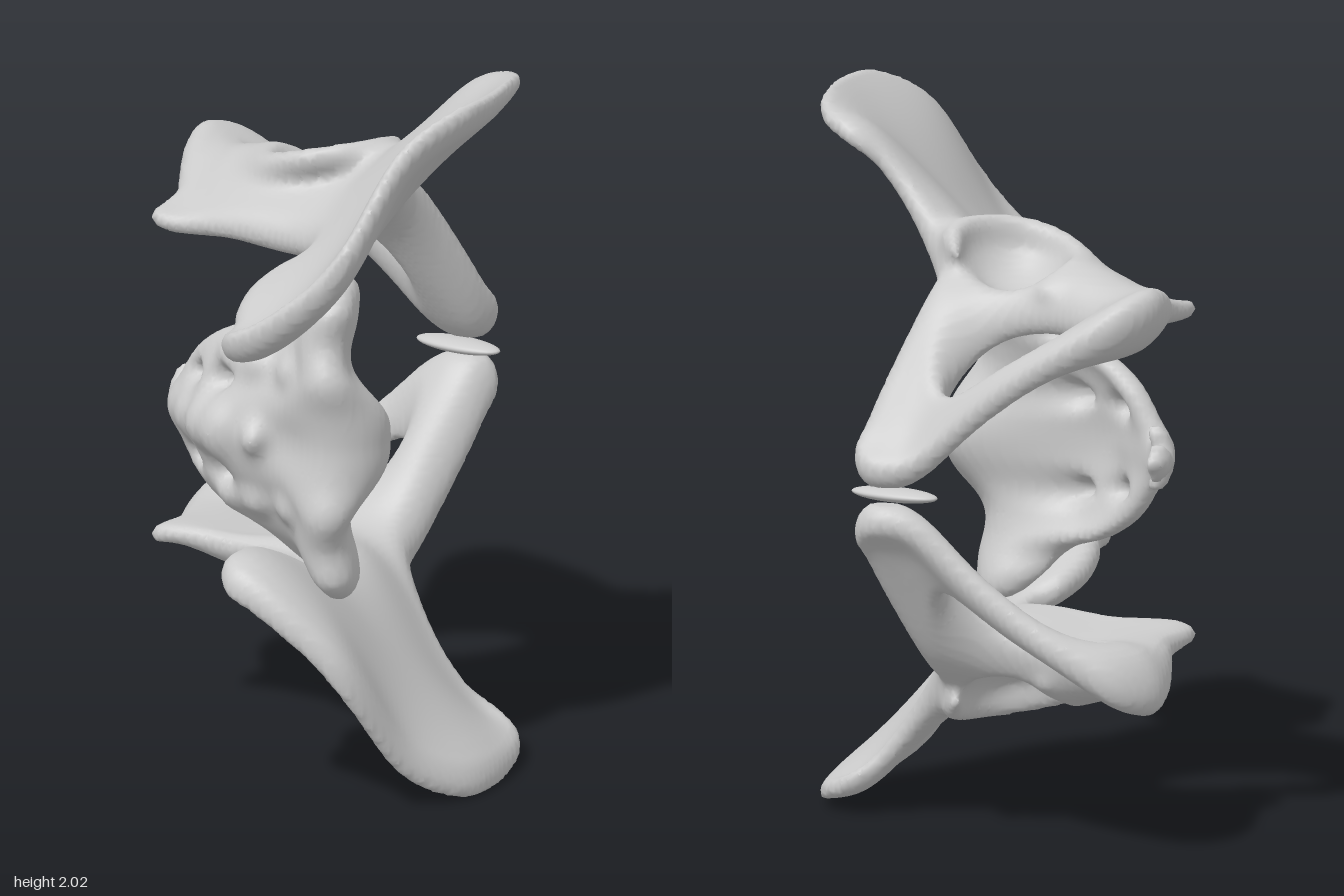
import * as THREE from 'three';

const STEP = 0.0155;
const smin = (a, b, k) => {
  const h = Math.max(k - Math.abs(a - b), 0) / k;
  return Math.min(a, b) - h * h * k / 4;
};

// Smooth closed outline through a few points
const outline = (pts, n) => new THREE.CatmullRomCurve3(
  pts.map(([a, b]) => new THREE.Vector3(a, b, 0)), true).getPoints(n);
const oval = (a, b, r, s) => outline([[a + r, b], [a, b + s], [a - r, b], [a, b - s]], 16);

// Signed distance to a polygon, negative inside
function polygonDistance(poly, u, v) {
  let best = Infinity, inside = false;
  for (let i = 0, j = poly.length - 1; i < poly.length; j = i++) {
    const a = poly[i], b = poly[j], ex = b.x - a.x, ey = b.y - a.y, px = u - a.x, py = v - a.y;
    const s = THREE.MathUtils.clamp((px * ex + py * ey) / (ex * ex + ey * ey || 1), 0, 1);
    best = Math.min(best, Math.hypot(px - ex * s, py - ey * s));
    if ((a.y > v) !== (b.y > v) && u < ex * (v - a.y) / (ey || 1e-9) + a.x) inside = !inside;
  }
  return inside ? -best : best;
}

// Smooth function through scattered values: rows are [u, v, ...values]
function scatter(rows, column) {
  const n = rows.length, phi = (a, b) => Math.sqrt(a * a + b * b + 0.01);
  const m = rows.map(p => [...rows.map(q => phi(p[0] - q[0], p[1] - q[1])), p[column]]);
  for (let c = 0; c < n; c++) {
    let p = c;
    for (let r = c; r < n; r++) if (Math.abs(m[r][c]) > Math.abs(m[p][c])) p = r;
    [m[c], m[p]] = [m[p], m[c]];
    for (let r = 0; r < n; r++) {
      if (r === c) continue;
      const k = m[r][c] / m[c][c];
      for (let j = c; j <= n; j++) m[r][j] -= k * m[c][j];
    }
  }
  const w = m.map((row, i) => row[n] / row[i]);
  return (u, v) => rows.reduce((s, p, i) => s + w[i] * phi(u - p[0], v - p[1]), 0);
}

// Curved plate with rounded edges: rows are [u, v, mid height, half thickness]
function plate(edge, holes, rows) {
  const mid = scatter(rows, 2), thick = scatter(rows, 3);
  return (u, v) => {
    let a = polygonDistance(edge, u, v);
    for (const h of holes) a = Math.max(a, -polygonDistance(h, u, v));
    const f = mid(u, v), t = Math.max(0.022, thick(u, v));
    const slope = Math.hypot(1, (mid(u + 0.01, v) - f) / 0.01, (mid(u, v + 0.01) - f) / 0.01);
    return w => {
      const p = a + t, q = Math.abs(w - f) / slope;
      return Math.hypot(Math.max(p, 0), q) - t + Math.min(Math.max(p, -t), 0) * 0.05;
    };
  };
}

// Skin a distance field given as column(u, v) => (w => distance)
function skin(column, lo, hi, toWorld, flip) {
  const n = lo.map((l, i) => Math.ceil((hi[i] - l) / STEP) + 1);
  const stride = [n[1] * n[2], n[2], 1];
  const val = new Float32Array(n[0] * n[1] * n[2]), cell = new Int32Array(val.length).fill(-1);
  const pos = [], index = [];
  for (let i = 0; i < n[0]; i++) for (let j = 0; j < n[1]; j++) {
    const f = column(lo[0] + i * STEP, lo[1] + j * STEP);
    for (let k = 0; k < n[2]; k++) val[i * stride[0] + j * stride[1] + k] = f(lo[2] + k * STEP);
  }
  const each = (start, fn) => {
    for (let i = start; i < n[0] - 1; i++) for (let j = start; j < n[1] - 1; j++)
      for (let k = start; k < n[2] - 1; k++) fn([i, j, k], i * stride[0] + j * stride[1] + k);
  };
  // One vertex per crossed cell
  each(0, (p, id) => {
    const sum = [0, 0, 0];
    let count = 0;
    for (let c = 0; c < 8; c++) for (let a = 0; a < 3; a++) {
      if (c >> a & 1) continue;
      const o = [c & 1, c >> 1 & 1, c >> 2 & 1];
      const s = id + o[0] * stride[0] + o[1] * stride[1] + o[2];
      const x = val[s], y = val[s + stride[a]];
      if ((x < 0) === (y < 0)) continue;
      o[a] = x / (x - y);
      o.forEach((e, i) => { sum[i] += e; });
      count++;
    }
    if (!count) return;
    cell[id] = pos.length / 3;
    pos.push(...toWorld(...sum.map((s, i) => lo[i] + (p[i] + s / count) * STEP)));
  });
  // One quad per crossed grid edge
  each(1, (p, id) => {
    for (let a = 0; a < 3; a++) {
      const inside = val[id] < 0;
      if (inside === (val[id + stride[a]] < 0)) continue;
      const b = stride[(a + 1) % 3], c = stride[(a + 2) % 3];
      const q = [id - b - c, id - c, id, id - b].map(s => cell[s]);
      if (inside === flip) q.reverse();
      index.push(q[0], q[1], q[2], q[0], q[2], q[3]);
    }
  });
  const g = new THREE.BufferGeometry();
  g.setAttribute('position', new THREE.Float32BufferAttribute(pos, 3));
  g.setIndex(index);
  g.computeVertexNormals();
  return g;
}

// Hip bone: plate over x and z, height in y, with a socket on its outer side
function hipGeometry() {
  const edge = outline([[-0.2, -0.755], [-0.05, -0.72], [0.1, -0.65], [0.25, -0.575], [0.46, -0.49],
    [0.49, -0.42], [0.44, -0.36], [0.28, -0.25], [0.215, -0.17], [0.28, -0.02],
    [0.34, 0.03], [0.43, 0.06], [0.48, 0.13], [0.485, 0.22], [0.45, 0.34], [0.38, 0.48], [0.3, 0.57],
    [0.1, 0.67], [-0.06, 0.75], [-0.18, 0.73], [-0.3, 0.68], [-0.38, 0.62], [-0.385, 0.54],
    [-0.345, 0.46], [-0.325, 0.37], [-0.28, 0.28], [-0.2, 0.22], [-0.12, 0.21], [-0.1, 0.14], [-0.13, 0.06],
    [-0.2, -0.01], [-0.37, -0.145], [-0.5, -0.235], [-0.42, -0.36], [-0.4, -0.46], [-0.37, -0.6],
    [-0.32, -0.7]], 180);
  const opening = outline([[-0.15, -0.58], [-0.1, -0.6], [0, -0.59], [0.1, -0.55], [0.2, -0.49], [0.235, -0.44],
    [0.22, -0.4], [0.15, -0.375], [0.07, -0.385], [-0.02, -0.43], [-0.1, -0.5]], 60);
  const blade = plate(edge, [opening], [
    // seat bone and lower branch
    [-0.25, -0.64, 1.5, 0.08], [-0.37, -0.4, 1.49, 0.05], [-0.48, -0.24, 1.46, 0.025],
    [-0.2, -0.4, 1.53, 0.08], [-0.05, -0.66, 1.42, 0.05], [0.1, -0.6, 1.32, 0.045], [0.27, -0.53, 1.16, 0.045],
    // front branch
    [0.22, -0.32, 1.39, 0.07], [0.33, -0.37, 1.23, 0.06], [0.4, -0.44, 1.1, 0.06],
    [0.47, -0.41, 1.11, 0.05], [0.34, -0.5, 1.1, 0.05],
    // socket body and inner rim
    [0, -0.24, 1.53, 0.085], [0.06, -0.36, 1.47, 0.06], [-0.08, -0.42, 1.51, 0.07], [-0.25, -0.15, 1.49, 0.05],
    [-0.08, 0.1, 1.48, 0.05], [0.05, 0, 1.54, 0.07], [0.2, -0.17, 1.55, 0.06], [0.25, -0.07, 1.68, 0.04],
    // wing
    [0, 0.3, 1.55, 0.035], [0.2, 0.3, 1.76, 0.03], [0, 0.5, 1.59, 0.03],
    [-0.25, 0.4, 1.37, 0.05], [-0.35, 0.6, 1.34, 0.04],
    // crest
    [-0.06, 0.72, 1.6, 0.035], [0.1, 0.64, 1.84, 0.035], [0.2, 0.6, 1.925, 0.035], [0.35, 0.48, 1.965, 0.033],
    [0.47, 0.17, 1.955, 0.028], [0.4, 0.07, 1.91, 0.028], [0.3, 0.02, 1.8, 0.03]]);
  const column = (x, z) => {
    const f = blade(x, z), r = Math.hypot(x, z + 0.26);
    // rim tilts back and fades out toward the opening
    const plane = 1.62 + 0.3 * (z + 0.25) + 0.12 * x;
    const tube = 0.038 - 0.08 * Math.max(0, (0.6 * x - z - 0.26) / 0.18 - 0.15);
    return y => {
      const rim = Math.hypot(r - 0.175, y - plane) - tube;
      const cup = Math.hypot(x - 0.005, y - 1.68, z + 0.255) - 0.157;
      const d = -smin(-smin(f(y), rim, 0.08), cup, 0.03);
      return Math.max(d, 1.026 - y);
    };
  };
  return skin(column, [-0.56, -0.82, 0.98], [0.56, 0.82, 2.06], (u, v, w) => [u, w, v], true);
}

// Sacrum and tailbone: plate over y and z, depth in x, symmetric about y = 1
function sacrumGeometry() {
  const edge = outline([[-0.15, 0.52], [0, 0.53], [0.1, 0.54], [0.2, 0.56], [0.3, 0.52], [0.4, 0.52], [0.45, 0.46],
    [0.455, 0.36], [0.44, 0.25], [0.38, 0.22], [0.31, 0.22], [0.26, 0.13], [0.19, 0.05], [0.1, 0.005],
    [0.05, -0.02], [0.095, -0.05], [0.08, -0.075], [0.035, -0.085], [0.06, -0.115], [0.03, -0.14], [0, -0.17],
    [-0.15, -0.17]], 110);
  const bone = plate(edge, [oval(0.14, 0.225, 0.03, 0.022), oval(0.12, 0.11, 0.024, 0.03)], [
    [0, 0.47, -0.04, 0.14], [0, 0.36, -0.1, 0.13], [0, 0.22, -0.33, 0.055], [0, 0.1, -0.4, 0.045],
    [0, 0, -0.435, 0.035], [0, -0.1, -0.43, 0.028], [0, -0.16, -0.39, 0.025], [0.1, 0.45, -0.06, 0.13],
    [0.22, 0.48, -0.09, 0.07], [0.22, 0.32, -0.14, 0.08], [0.22, 0.2, -0.28, 0.04], [0.18, 0.1, -0.36, 0.035],
    [0.32, 0.45, -0.08, 0.07], [0.32, 0.28, -0.11, 0.06], [0.42, 0.44, -0.05, 0.05], [0.42, 0.28, -0.04, 0.05]]);
  const bumps = [[-0.28, 0.38], [-0.36, 0.29], [-0.41, 0.2], [-0.435, 0.11], [-0.44, 0.03]];
  const column = (y, z) => {
    const h = Math.hypot(y - 1, 0.015), f = bone(h, z);
    return x => {
      let d = f(x);
      // spine bumps along the back
      for (const [bx, bz] of bumps) d = smin(d, Math.hypot(x - bx, z - bz, h * 0.8) - 0.036, 0.05);
      // side bumps along the back
      for (const [bx, bz] of bumps.slice(0, 3))
        d = smin(d, Math.hypot(x - bx - 0.1, z - bz - 0.02, h - 0.2) - 0.03, 0.05);
      return d;
    };
  };
  return skin(column, [0.5, -0.24, -0.54], [1.5, 0.62, 0.24], (u, v, w) => [w, u, v], false);
}

// Mirror a geometry about y = 1
function mirrored(geometry) {
  const g = geometry.clone(), p = g.attributes.position;
  for (let i = 0; i < p.count; i++) p.setY(i, 2 - p.getY(i));
  g.setIndex(Array.from(g.index.array).reverse());
  g.computeVertexNormals();
  return g;
}

export function createModel() {
  const group = new THREE.Group();
  const material = new THREE.MeshStandardMaterial({ color: 0xcccccc });
  const add = (name, geometry) => {
    const mesh = new THREE.Mesh(geometry, material);
    mesh.name = name;
    group.add(mesh);
    return mesh;
  };
  const hip = hipGeometry();
  add('upperHipBone', hip);
  add('lowerHipBone', mirrored(hip));
  add('sacrum', sacrumGeometry());

  // Cartilage disc between the two front branches, long axis along the joint
  const disc = add('jointDisc', new THREE.SphereGeometry(1, 32, 20));
  disc.scale.set(0.136, 0.02, 0.05);
  disc.rotation.y = -0.69;
  disc.position.set(0.38, 1, -0.445);
  return group;
}
